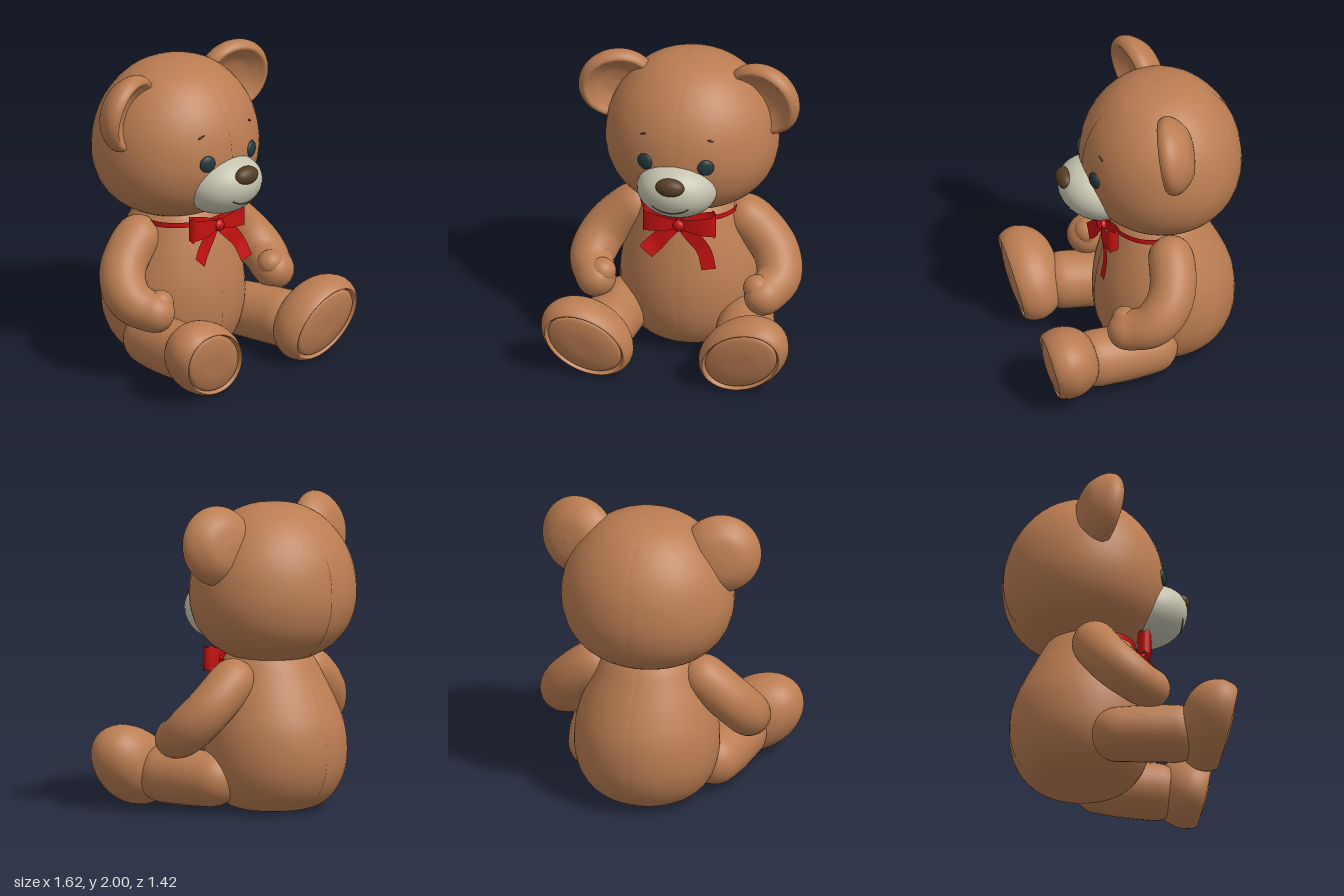
import * as THREE from 'three';

const mat = (name, color, side = THREE.FrontSide) => {
  const m = new THREE.MeshStandardMaterial({ color, side });
  m.name = name;
  return m;
};
const V = (p) => new THREE.Vector3(...p);

// Skin a list of point rings into a smooth surface
function loft(rings, closed = true) {
  const n = rings[0].length, pos = [], idx = [];
  rings.forEach((r) => r.forEach((p) => pos.push(p.x, p.y, p.z)));
  for (let i = 0; i < rings.length - 1; i++) {
    for (let j = 0; j < (closed ? n : n - 1); j++) {
      const a = i * n + j, b = i * n + (j + 1) % n;
      idx.push(a, a + n, b, b, a + n, b + n);
    }
  }
  const g = new THREE.BufferGeometry();
  g.setAttribute('position', new THREE.Float32BufferAttribute(pos, 3));
  g.setIndex(idx);
  g.computeVertexNormals();
  return g;
}

// Stuffed shell from [half width, y, z centre] stations, with a sewn groove at x = 0
function shell(stations, depthRatio) {
  const curve = new THREE.CatmullRomCurve3(stations.map(V), false, 'centripetal');
  const angles = [];
  for (let k = 0; k < 48; k++) {
    const a = (k / 48) * Math.PI * 2;
    if (k % 24 === 12) angles.push([a - 0.018, 1], [a, 0.985], [a + 0.018, 1]);
    else angles.push([a, 1]);
  }
  return loft(curve.getPoints(44).map((c) => {
    const w = Math.max(c.x, 0.0005);
    return angles.map(([a, s]) =>
      new THREE.Vector3(w * s * Math.cos(a), c.y, c.z + w * s * depthRatio * Math.sin(a)));
  }));
}

// Round-ended limb following a path with varying radius
function limb(points, radii) {
  const curve = new THREE.CatmullRomCurve3(points.map(V));
  const N = 40, len = curve.getLength(), rings = [];
  const frames = curve.computeFrenetFrames(400, false);
  for (let i = 0; i <= N; i++) {
    const k = Math.round(200 * (1 - Math.cos((Math.PI * i) / N))), t = k / 400;
    const f = t * (radii.length - 1), lo = Math.min(Math.floor(f), radii.length - 2);
    let r = THREE.MathUtils.lerp(radii[lo], radii[lo + 1], f - lo);
    const d = Math.min(t, 1 - t) * len;
    if (d < r) r = Math.max(Math.sqrt(r * r - (r - d) ** 2), 0.0005);
    const c = curve.getPointAt(t), ring = [];
    for (let j = 0; j < 28; j++) {
      const a = (j / 28) * Math.PI * 2;
      ring.push(c.clone().addScaledVector(frames.normals[k], r * Math.cos(a))
        .addScaledVector(frames.binormals[k], -r * Math.sin(a)));
    }
    rings.push(ring);
  }
  return loft(rings);
}

// Flat ribbon along a path; each point carries a half-width vector
function ribbon(path, halfWidths) {
  const c = new THREE.CatmullRomCurve3(path.map(V)), h = new THREE.CatmullRomCurve3(halfWidths.map(V));
  const rings = [];
  for (let i = 0; i <= 24; i++) {
    const p = c.getPoint(i / 24), w = h.getPoint(i / 24);
    rings.push([p.clone().sub(w), p.clone().add(w)]);
  }
  return loft(rings, false);
}

// Turned pad whose axis points to +z
function pad(profile) {
  const pts = new THREE.SplineCurve(profile.map((p) => new THREE.Vector2(...p))).getPoints(45);
  pts.forEach((p) => { p.x = Math.max(p.x, 0); });
  return new THREE.LatheGeometry(pts, 44).rotateX(Math.PI / 2);
}

export function createModel() {
  const root = new THREE.Group();
  root.name = 'teddyBear';
  const fur = mat('brownFur', 0xbb7d52);
  const cream = mat('creamMuzzle', 0xc6c4b0);
  const eyeMat = mat('darkEye', 0x22373d);
  const noseMat = mat('darkBrownNose', 0x543d22);
  const red = mat('redRibbon', 0xc41010, THREE.DoubleSide);

  const add = (name, geo, material, pos = [0, 0, 0], scale = [1, 1, 1], rot = [0, 0, 0]) => {
    const m = new THREE.Mesh(geo, material);
    m.name = name;
    m.position.set(...pos);
    m.scale.set(...scale);
    m.rotation.set(...rot);
    root.add(m);
    return m;
  };
  const ball = new THREE.SphereGeometry(1, 32, 22);

  // Head and body
  add('head', shell([
    [0, 0.94, -0.19], [0.14, 0.955, -0.19], [0.27, 0.99, -0.19], [0.4, 1.06, -0.19], [0.5, 1.17, -0.19],
    [0.55, 1.3, -0.19], [0.56, 1.43, -0.19], [0.53, 1.6, -0.19], [0.455, 1.75, -0.19],
    [0.32, 1.89, -0.19], [0.17, 1.96, -0.19], [0, 1.98, -0.19]], 0.93), fur);
  add('body', shell([
    [0, 0, -0.2], [0.22, 0.003, -0.2], [0.32, 0.04, -0.2], [0.4, 0.12, -0.205], [0.455, 0.25, -0.21],
    [0.47, 0.4, -0.21], [0.455, 0.55, -0.205], [0.41, 0.7, -0.19], [0.35, 0.85, -0.17],
    [0.29, 0.98, -0.155], [0.2, 1.08, -0.15]], 0.975), fur);

  // Muzzle, leaning forward towards the top
  const muzzle = ball.clone();
  muzzle.applyMatrix4(new THREE.Matrix4().makeScale(0.26, 0.2, 0.24));
  const mp = muzzle.attributes.position;
  for (let i = 0; i < mp.count; i++) mp.setZ(i, mp.getZ(i) + 0.2 * mp.getY(i));
  muzzle.computeVertexNormals();
  add('muzzle', muzzle, cream, [0, 1.235, 0.24]);
  const muzzleZ = (x, y) =>
    0.24 + 0.24 * Math.sqrt(1 - (x / 0.26) ** 2 - ((y - 1.235) / 0.2) ** 2) + 0.2 * (y - 1.235);

  // Mouth stitch and nose
  const smile = [];
  for (let i = -4; i <= 4; i++) {
    const x = i * 0.03, y = 1.15 + 0.04 * (i / 4) ** 2;
    smile.push(new THREE.Vector3(x, y, muzzleZ(x, y)));
  }
  add('mouth', new THREE.TubeGeometry(new THREE.CatmullRomCurve3(smile), 24, 0.004, 6), noseMat);
  add('nose', ball, noseMat, [0, 1.34, 0.445], [0.095, 0.06, 0.055], [-0.25, 0, 0]);

  // Paired parts
  const earGeo = pad([[0, -0.12], [0.14, -0.1], [0.23, -0.03], [0.258, 0.04], [0.225, 0.09],
    [0.175, 0.06], [0.1, 0.02], [0, 0.005]]);
  const footGeo = pad([[0, -0.19], [0.5, -0.17], [0.85, -0.1], [1, 0], [0.97, 0.08], [0.87, 0.125],
    [0.81, 0.1], [0.74, 0.12], [0.4, 0.14], [0, 0.142]]);
  for (const [side, s] of [['left', 1], ['right', -1]]) {
    const flip = (pts) => pts.map(([x, y, z]) => [x * s, y, z]);
    add(side + 'Ear', earGeo, fur, [0.485 * s, 1.745, -0.175], [1, 1, 1], [0.16, -0.25 * s, 0]);
    add(side + 'Eye', ball, eyeMat, [0.2 * s, 1.43, 0.292], [0.055, 0.055, 0.025], [0, 0.36 * s, 0]);
    add(side + 'Brow', ball, noseMat, [0.222 * s, 1.61, 0.258], [0.024, 0.006, 0.006], [0, 0.4 * s, -0.45 * s]);
    add(side + 'Arm', limb(flip([[0.24, 0.93, -0.15], [0.4, 0.83, -0.17], [0.56, 0.67, -0.12],
      [0.615, 0.54, 0], [0.565, 0.48, 0.13], [0.5, 0.47, 0.28]]),
    [0.14, 0.15, 0.15, 0.15, 0.135, 0.12]), fur);
    add(side + 'Thumb', ball, fur, [0.51 * s, 0.53, 0.17], [0.09, 0.085, 0.085]);
    add(side + 'Leg', limb(flip([[0.36, 0.205, -0.2], [0.42, 0.21, 0.1], [0.465, 0.22, 0.52]]),
      [0.17, 0.185, 0.19]), fur);
    add(side + 'Foot', footGeo, fur, [0.515 * s, 0.265, 0.545], [0.32, 0.235, 1], [0.2, 0, 0.6 * s]);

    // Bow loop
    add(side + 'BowLoop', ribbon(
      flip([[0, 0.94, 0.2], [0.12, 0.95, 0.225], [0.225, 0.955, 0.21], [0.24, 0.955, 0.17],
        [0.2, 0.955, 0.135], [0.1, 0.95, 0.15], [0, 0.94, 0.18]]),
      [[0, 0.03, 0], [0, 0.055, 0], [0, 0.07, 0], [0, 0.07, 0], [0, 0.07, 0], [0, 0.055, 0], [0, 0.03, 0]]), red);
  }

  // Bow knot, tails and neck ribbon
  add('bowKnot', ball, red, [0, 0.935, 0.195], [0.042, 0.04, 0.035]);
  add('rightBowTail', ribbon(
    [[0, 0.925, 0.185], [-0.08, 0.875, 0.2], [-0.15, 0.8, 0.21], [-0.21, 0.74, 0.235]],
    [[-0.01, 0.02, 0], [-0.03, 0.04, 0], [-0.04, 0.04, 0], [-0.042, 0.037, 0]]), red);
  add('leftBowTail', ribbon(
    [[0, 0.925, 0.185], [0.09, 0.87, 0.205], [0.17, 0.78, 0.215], [0.21, 0.665, 0.245]],
    [[0.01, 0.02, 0], [0.035, 0.035, 0], [0.045, 0.02, 0], [0.048, 0.012, 0]]), red);
  add('neckRibbon', new THREE.CylinderGeometry(1, 1, 0.035, 48, 1, true), red,
    [0, 0.96, -0.1], [0.315, 1, 0.25]);

  return root;
}
